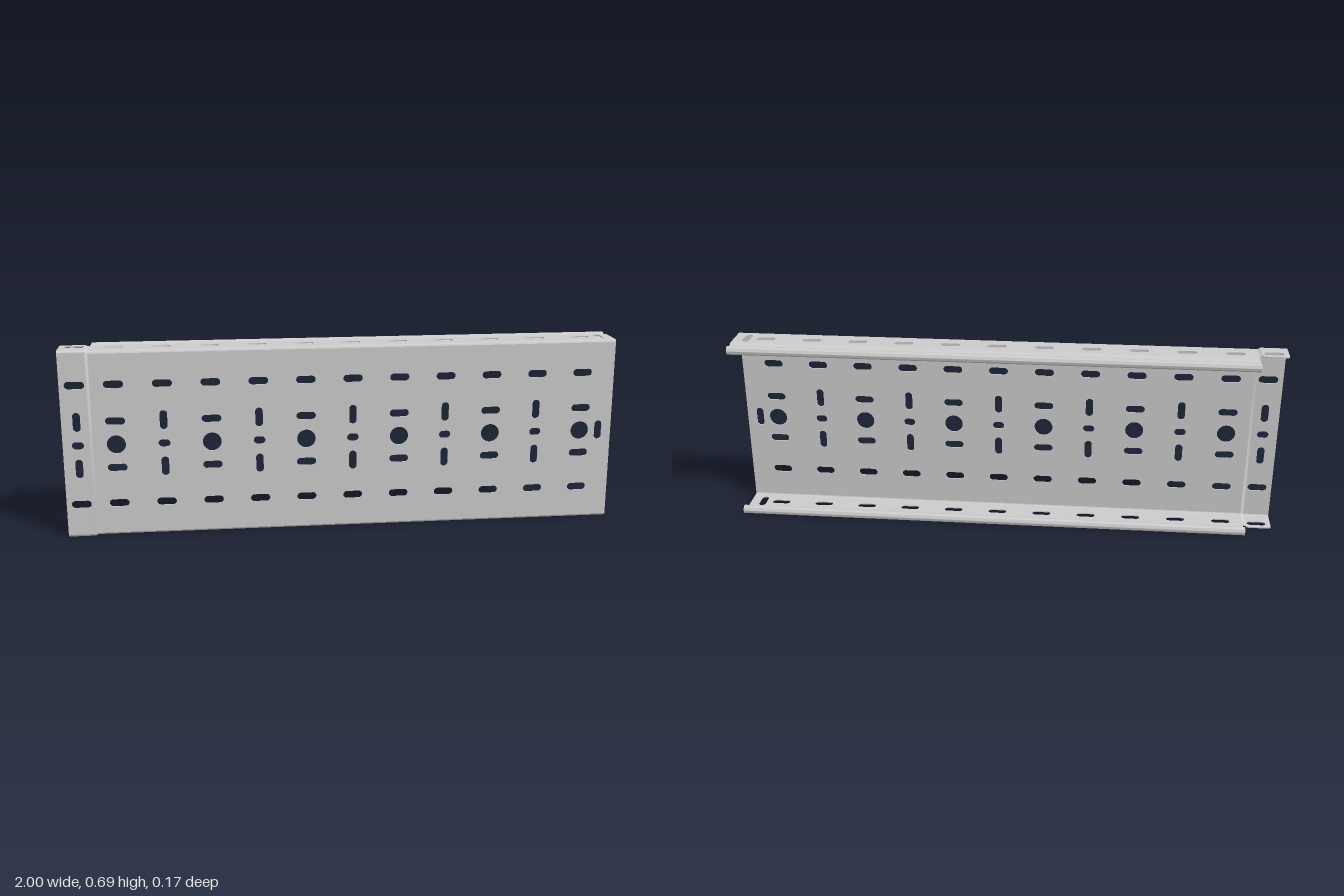
import * as THREE from 'three';
import { toCreasedNormals } from 'three/addons/utils/BufferGeometryUtils.js';

const H = 0.687, FRONT = 0.087, T = 0.004, R = 0.009; // height, front face, sheet thickness, bend radius
const X0 = -1, XA = -0.905, XB = -0.895, X1 = 1;      // end flap, step, main length
const SLOT = 0.07, W = 0.027, MID = H / 2;
const COLS = [-0.947];
for (let k = 0; k <= 10; k++) COLS.push(-0.813 + 0.1695 * k);

const mat = new THREE.MeshStandardMaterial({ color: 0xcccccc, side: THREE.DoubleSide });

function add(group, name, geo) {
  const m = new THREE.Mesh(geo, mat);
  m.name = name;
  group.add(m);
  return m;
}

// Round-ended slot of overall size w by h
function slot(x, y, w, h) {
  const p = new THREE.Path(), r = Math.min(w, h) / 2, a = w / 2 - r, b = h / 2 - r;
  if (w >= h) {
    p.absarc(x + a, y, r, -Math.PI / 2, Math.PI / 2, false);
    p.absarc(x - a, y, r, Math.PI / 2, Math.PI * 1.5, false);
  } else {
    p.absarc(x, y + b, r, 0, Math.PI, false);
    p.absarc(x, y - b, r, Math.PI, Math.PI * 2, false);
  }
  p.closePath();
  return p;
}

// Flat sheet with optional rounding of the two lower corners
function sheet(xa, xb, ya, yb, holes, r = 0) {
  const s = new THREE.Shape();
  s.moveTo(xa, yb);
  if (r) {
    s.lineTo(xa, ya + r);
    s.absarc(xa + r, ya + r, r, Math.PI, Math.PI * 1.5, false);
    s.absarc(xb - r, ya + r, r, Math.PI * 1.5, Math.PI * 2, false);
  } else {
    s.lineTo(xa, ya);
    s.lineTo(xb, ya);
  }
  s.lineTo(xb, yb);
  s.closePath();
  s.holes.push(...holes);
  const g = new THREE.ExtrudeGeometry(s, { depth: T, bevelEnabled: false, curveSegments: 10 });
  return toCreasedNormals(g, 0.6);
}

// Sheet strip following a (z, y) centre line, running along x
function strip(path, xa, xb) {
  const left = [], right = [];
  path.forEach(([z, y], i) => {
    const p = path[Math.max(i - 1, 0)], q = path[Math.min(i + 1, path.length - 1)];
    const du = p[0] - q[0], dv = q[1] - p[1], l = Math.hypot(du, dv);
    const nx = -dv / l * T / 2, ny = du / l * T / 2;
    left.push(new THREE.Vector2(-z + nx, y + ny));
    right.unshift(new THREE.Vector2(-z - nx, y - ny));
  });
  const g = new THREE.ExtrudeGeometry(new THREE.Shape([...left, ...right]), { depth: xb - xa, bevelEnabled: false });
  return g.rotateY(Math.PI / 2).translate(xa, 0, 0);
}

const flip = path => path.map(([z, y]) => [z, H - y]);

// Centre line of the top front bend, from flange to web
function bend(inset) {
  const pts = [], r = R - T / 2;
  for (let i = 0; i <= 8; i++) {
    const a = Math.PI / 2 * (1 - i / 8);
    pts.push([FRONT - inset - R + r * Math.cos(a), H - inset - R + r * Math.sin(a)]);
  }
  return pts;
}

// Centre line of the top rear lip: dip, then open curl
function curl() {
  const y = H - T * 1.5;
  const pts = [[0.02, y], [0.028, y - 0.0006], [0.037, y - 0.005], [0.046, y - 0.0075], [0.054, y - 0.005]];
  const v = pts.map(([u, w]) => new THREE.Vector3(-u, w, 0));
  for (let i = 0; i <= 12; i++) {
    const a = THREE.MathUtils.degToRad(132 - i * 23);
    v.push(new THREE.Vector3(-0.07 - 0.0137 * Math.cos(a), 0.668 + 0.0137 * Math.sin(a), 0));
  }
  return new THREE.CatmullRomCurve3(v).getPoints(54).map(p => [p.x, p.y]);
}

// Perforation pattern of the web
function webHoles() {
  const list = [];
  COLS.forEach((x, i) => {
    const put = (y, w, h) => list.push({ x, p: slot(x, y, w, h) });
    for (const s of [-1, 1]) {
      put(MID + s * 0.2195, SLOT, W);
      if (i % 2) put(MID + s * 0.086, SLOT, W);
      else put(MID + s * 0.086, W, SLOT);
    }
    if (i % 2) put(MID, 0.067, 0.067);
    else put(MID, 0.042, W);
  });
  list.push({ x: 0.952, p: slot(0.952, MID, W, SLOT) });
  return list;
}

// Perforation pattern of each flange
function flangeHoles() {
  const list = COLS.map(x => ({ x, p: slot(x, 0.02, SLOT, W) }));
  list.push({ x: 0.952, p: slot(0.952, 0.02, W, SLOT) });
  return list;
}

// Web, two flanges and two bends of one length of channel
function channel(name, xa, xb, inset, back, round) {
  const g = new THREE.Group();
  g.name = name;
  const pick = list => list.filter(h => h.x > xa && h.x < xb).map(h => h.p);
  const e = inset + R;
  add(g, 'web', sheet(xa, xb, e, H - e, pick(webHoles()))).position.z = FRONT - inset - T;
  for (const [side, y] of [['top', H - inset], ['bottom', inset + T]]) {
    const f = sheet(xa, xb, back, FRONT - e, pick(flangeHoles()), round).rotateX(Math.PI / 2);
    add(g, side + 'Flange', f).position.y = y;
    const path = side === 'top' ? bend(inset) : flip(bend(inset));
    add(g, side + 'Bend', toCreasedNormals(strip(path, xa, xb), 0.6));
  }
  return g;
}

export function createModel() {
  const tray = new THREE.Group();
  tray.name = 'cableTray';

  tray.add(channel('mainChannel', XB, X1, T, -0.02, 0));
  tray.add(channel('endFlap', X0, XA, 0, -0.01, 0.012));

  // Rear curled lips
  const lip = curl();
  add(tray, 'topLip', toCreasedNormals(strip(lip, XB, X1), 0.7));
  add(tray, 'bottomLip', toCreasedNormals(strip(flip(lip), XB, X1), 0.7));

  // Sloping step joining the flap to the narrower main channel
  const half = [[0.002, H - T / 2], ...bend(0)];
  const step = strip([...half, ...flip(half).reverse()], XA, XB);
  const p = step.attributes.position;
  for (let i = 0; i < p.count; i++) {
    if (p.getX(i) < (XA + XB) / 2) continue;
    p.setZ(i, p.getZ(i) - T);
    p.setY(i, p.getY(i) - Math.sign(p.getY(i) - MID) * T);
  }
  add(tray, 'step', toCreasedNormals(step, 0.6));
  return tray;
}
